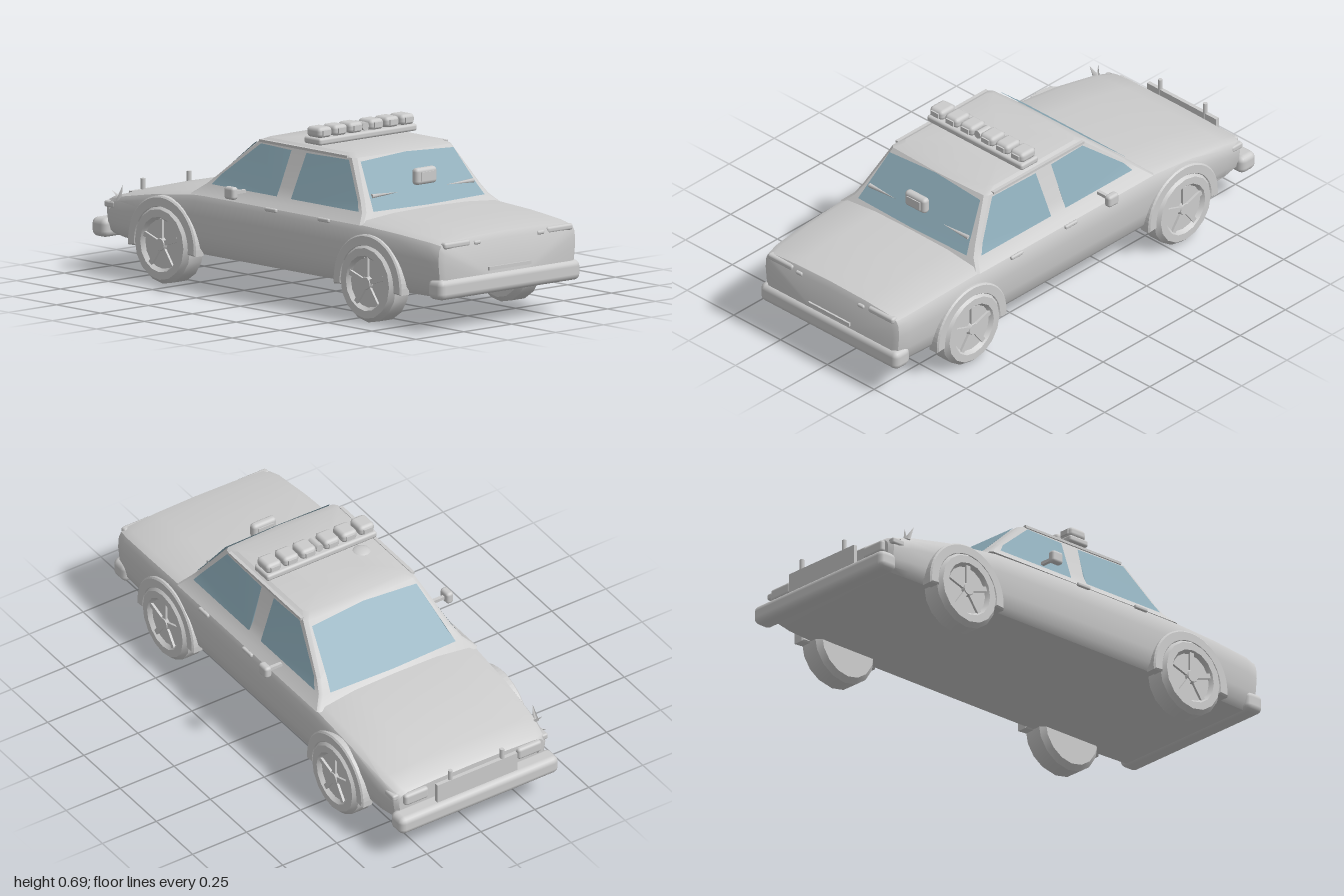
import * as THREE from 'three';
import { toCreasedNormals } from 'three/addons/utils/BufferGeometryUtils.js';
import { RoundedBoxGeometry } from 'three/addons/geometries/RoundedBoxGeometry.js';

const paint = new THREE.MeshStandardMaterial({ color: 0xcccccc, side: THREE.DoubleSide });
const glass = new THREE.MeshStandardMaterial({ color: 0x8cabb8, side: THREE.DoubleSide });

// Skin a row of closed rings and cap both ends
function loft(rings, crease = 0.6) {
  const n = rings[0].length, pos = rings.flat(2), idx = [];
  for (let i = 0; i < rings.length - 1; i++) {
    for (let j = 0; j < n; j++) {
      const a = i * n + j, b = i * n + (j + 1) % n, c = a + n, d = b + n;
      idx.push(a, c, b, b, c, d);
    }
  }
  const last = (rings.length - 1) * n;
  for (let j = 1; j < n - 1; j++) {
    idx.push(0, j, j + 1, last, last + j + 1, last + j);
  }
  const g = new THREE.BufferGeometry();
  g.setAttribute('position', new THREE.Float32BufferAttribute(pos, 3));
  g.setIndex(idx);
  return toCreasedNormals(g, crease);
}

// Flat pane from its outline
function pane(points) {
  const idx = [];
  for (let j = 1; j < points.length - 1; j++) idx.push(0, j, j + 1);
  const g = new THREE.BufferGeometry();
  g.setAttribute('position', new THREE.Float32BufferAttribute(points.flat(), 3));
  g.setIndex(idx);
  g.computeVertexNormals();
  return g;
}

export function createModel() {
  const car = new THREE.Group();
  car.name = 'car';
  const add = (name, geo, x = 0, y = 0, z = 0, mat = paint, parent = car) => {
    const m = new THREE.Mesh(geo, mat);
    m.name = name;
    m.position.set(x, y, z);
    parent.add(m);
    return m;
  };
  const rbox = (w, h, d, r) => new RoundedBoxGeometry(w, h, d, 2, r);
  const box = (w, h, d) => new THREE.BoxGeometry(w, h, d);

  // Lower body: z, half width, bottom, top
  const stations = [
    [0.985, 0.335, 0.15, 0.34], [0.972, 0.357, 0.14, 0.365], [0.92, 0.368, 0.135, 0.376],
    [0.75, 0.377, 0.135, 0.39], [0.5, 0.382, 0.135, 0.402], [0, 0.382, 0.135, 0.404],
    [-0.4, 0.38, 0.135, 0.396], [-0.65, 0.376, 0.135, 0.362], [-0.84, 0.366, 0.14, 0.322],
    [-0.92, 0.352, 0.147, 0.298], [-0.935, 0.335, 0.155, 0.285]];
  const section = [[0.9, 0], [0.955, 0.1], [0.98, 0.3], [1, 0.6], [0.99, 0.8], [0.96, 0.89], [0.88, 0.945], [0.5, 0.985]];
  add('body', loft(stations.map(([z, w, b, t]) => {
    const half = section.map(([u, v]) => [u * w, b + v * (t - b), z]);
    return [[0, b, z], ...half, [0, t, z], ...half.map(([x, y]) => [-x, y, z]).reverse()];
  })));

  // Cabin: y, half width, trunk-side z, bonnet-side z, corner size
  const cabin = [
    [0.617, 0.12, 0.2, -0.04, 0.02], [0.612, 0.235, 0.345, -0.14, 0.02], [0.598, 0.257, 0.385, -0.17, 0.015],
    [0.45, 0.31, 0.49, -0.34, 0.012], [0.41, 0.33, 0.52, -0.385, 0.012], [0.37, 0.372, 0.55, -0.43, 0.01]];
  add('cabin', loft(cabin.map(([y, w, r, f, c]) => [
    [w, y, r - c], [w, y, f + c], [w - c, y, f], [0, y, f - 0.008], [c - w, y, f],
    [-w, y, f + c], [-w, y, r - c], [c - w, y, r], [0, y, r + 0.008], [w - c, y, r]]), 0.5));

  // Lookup of cabin surfaces at a given height (column 1 side, 2 trunk end, 3 bonnet end)
  const at = (y, col) => {
    const i = Math.max(2, cabin.findIndex((r) => r[0] <= y) - 1);
    const a = cabin[i], b = cabin[i + 1];
    return THREE.MathUtils.lerp(b[col], a[col], (y - b[0]) / (a[0] - b[0]));
  };

  // Windscreens
  const screen = (name, col, dir) => {
    const off = (y) => at(y, col) + dir * 0.011;
    const pts = [[-0.29, 0.412], [0, 0.408], [0.29, 0.412], [0.277, 0.45], [0.242, 0.586], [0, 0.597], [-0.242, 0.586], [-0.277, 0.45]];
    add(name, pane(pts.map(([x, y]) => [x, y, off(y)])), 0, 0, 0, glass);
  };
  screen('rearWindow', 2, 1);
  screen('windscreen', 3, -1);

  // Wheel shapes
  const tyre = toCreasedNormals(new THREE.LatheGeometry([
    [0, -0.055], [0.135, -0.055], [0.155, -0.035], [0.155, 0.035], [0.138, 0.055],
    [0.108, 0.055], [0.096, 0.039], [0, 0.039]].map(([x, y]) => new THREE.Vector2(x, y)), 16), 0.5);
  tyre.rotateZ(-Math.PI / 2);
  const hub = new THREE.CylinderGeometry(0.024, 0.03, 0.014, 10).rotateZ(-Math.PI / 2);
  const archShape = new THREE.Shape();
  archShape.absarc(0, 0, 0.187, -0.08, Math.PI + 0.08, false);
  archShape.absarc(0, 0, 0.153, Math.PI + 0.08, -0.08, true);
  const arch = new THREE.ExtrudeGeometry(archShape, {
    depth: 0.04, bevelEnabled: true, bevelSize: 0.006, bevelThickness: 0.006, bevelSegments: 1, curveSegments: 16 });
  arch.rotateY(Math.PI / 2);

  for (const s of [1, -1]) {
    // Side windows
    const side = (name, pts) => add(name, pane(pts.map(([z, y]) => [s * (at(y, 1) + 0.003), y, z])), 0, 0, 0, glass);
    side('rearSideWindow', [[0.105, 0.412], [0.105, 0.45], [0.12, 0.586], [0.36, 0.59], [0.465, 0.45], [0.49, 0.412]]);
    side('frontSideWindow', [[0.025, 0.412], [0.025, 0.45], [0.035, 0.586], [-0.14, 0.59], [-0.315, 0.45], [-0.345, 0.412]]);
    add('dripRail', box(0.014, 0.01, 0.5), s * 0.257, 0.6, 0.1);

    for (const z of [0.6, -0.57]) {
      add('wheelArch', arch, s * 0.365 - 0.02, 0.15, z);
      const wheel = new THREE.Group();
      wheel.name = 'wheel';
      wheel.position.set(s * 0.345, 0.155, z);
      if (s < 0) wheel.rotation.y = Math.PI;
      car.add(wheel);
      add('tyre', tyre, 0, 0, 0, paint, wheel);
      add('hub', hub, 0.046, 0, 0, paint, wheel);
      for (let k = 0; k < 5; k++) {
        const a = k / 5 * Math.PI * 2;
        const spoke = add('spoke', box(0.012, 0.09, 0.02), 0.043, Math.cos(a) * 0.055, Math.sin(a) * 0.055, paint, wheel);
        spoke.rotation.x = a;
      }
    }

    // Door handles and mirrors
    for (const z of [0.345, 0.045]) add('doorHandle', rbox(0.014, 0.016, 0.065, 0.006), s * 0.38, 0.367, z);
    add('mirrorArm', box(0.065, 0.013, 0.014), s * 0.38, 0.414, -0.14);
    add('mirror', rbox(0.032, 0.05, 0.055, 0.012), s * 0.421, 0.415, -0.138);

    // Tail lamps, wipers and headlamps
    add('tailLamp', rbox(0.135, 0.026, 0.03, 0.01), s * 0.268, 0.34, 0.972);
    add('smallTailLamp', rbox(0.036, 0.016, 0.02, 0.007), s * 0.165, 0.337, 0.98);
    const wiper = add('wiper', new THREE.ConeGeometry(0.009, 0.14, 6), s * 0.195, 0.465, 0.492);
    wiper.rotation.z = s * Math.PI / 2;
    add('headlamp', rbox(0.11, 0.05, 0.035, 0.012), s * 0.262, 0.25, -0.935);
    add('indicator', rbox(0.03, 0.026, 0.06, 0.008), s * 0.345, 0.265, -0.9);

    // Posts of the front guard
    add('guardPost', new THREE.CylinderGeometry(0.009, 0.009, 0.14, 8), s * 0.12, 0.26, -0.967);
  }

  // Broken trim at one front corner
  for (let k = 0; k < 5; k++) {
    const shard = add('brokenTrim', new THREE.ConeGeometry(0.014, 0.07, 3), -0.325 - 0.008 * k, 0.24 + 0.02 * k, -0.925 + 0.022 * k);
    shard.rotation.set(k * 0.9, 0.4, 1.1 + k * 0.5);
  }

  // Bumpers, front plate and trunk handle
  add('rearBumper', rbox(0.735, 0.08, 0.085, 0.025), 0, 0.17, 0.957);
  add('frontBumper', rbox(0.735, 0.076, 0.085, 0.025), 0, 0.168, -0.957);
  add('frontPlate', box(0.37, 0.085, 0.016), 0, 0.245, -0.968);
  add('trunkHandle', box(0.22, 0.014, 0.02), 0, 0.228, 0.983);

  // Roof light bar
  add('lightBar', rbox(0.51, 0.028, 0.095, 0.01), 0, 0.634, 0.14);
  for (const x of [-0.215, -0.135, -0.054, 0.054, 0.135, 0.215]) {
    add('roofLamp', rbox(0.07, 0.042, 0.08, 0.016), x, 0.667, 0.14);
    add('roofLampLens', box(0.04, 0.02, 0.09), x, 0.667, 0.14);
  }
  add('centreLamp', new THREE.CylinderGeometry(0.017, 0.017, 0.06, 8).rotateX(Math.PI / 2), 0, 0.665, 0.14);
  const dome = add('roofDome', new THREE.SphereGeometry(0.04, 14, 8), -0.16, 0.608, 0.065);
  dome.scale.y = 0.4;

  // Lamp held behind the rear window
  add('rearLamp', rbox(0.11, 0.066, 0.035, 0.015), 0, 0.517, 0.503);
  add('rearLampLens', box(0.07, 0.034, 0.044), 0, 0.517, 0.503);
  return car;
}
